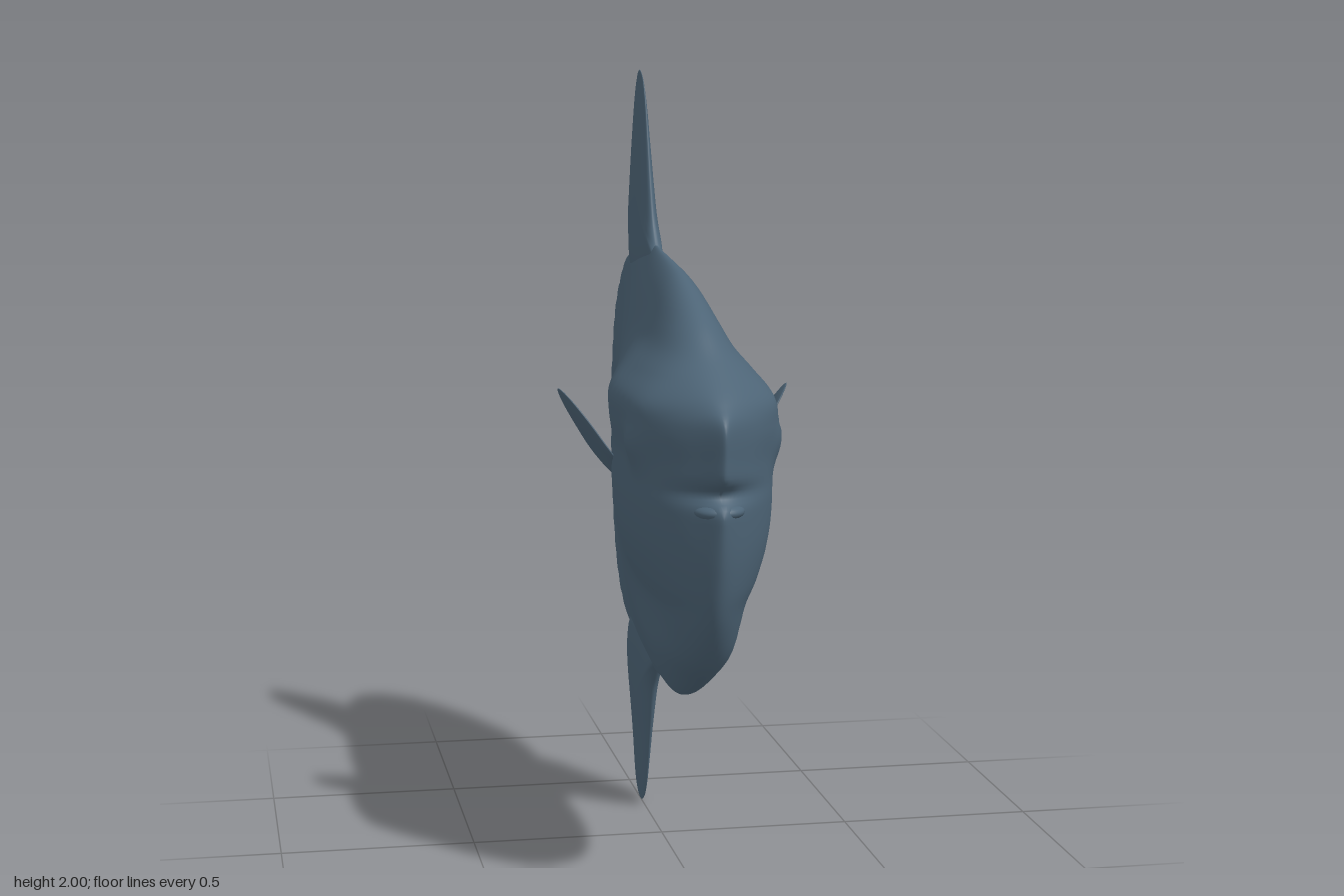
import * as THREE from 'three';

const skin = new THREE.MeshStandardMaterial({ color: 0x4d6476 });
skin.name = 'slate blue skin';

// Smooth curve through [x, y] pairs sorted by x
function curve(pairs) {
  const f = new THREE.CubicInterpolant(pairs.map(p => p[0]), pairs.map(p => p[1]), 1);
  return x => f.evaluate(x)[0];
}

// Closed two-sided form: a [z, y] outline filled with rings around a centre.
// half(z, y, s) gives the half thickness, warp(p, s, i) adjusts each point.
function lensForm(name, outline, centre, segs, rings, half, warp = () => {}) {
  const spline = new THREE.CatmullRomCurve3(
    outline.map(([z, y]) => new THREE.Vector3(0, y, z)), true, 'centripetal');
  const rim = spline.getSpacedPoints(segs).slice(0, segs);
  if (THREE.ShapeUtils.area(rim.map(p => new THREE.Vector2(p.y, p.z))) < 0) rim.reverse();
  const mid = new THREE.Vector3(0, centre[1], centre[0]);
  const pos = [], idx = [];
  const put = (base, s, sign, i) => {
    const p = mid.clone().lerp(base, s);
    const t = s < 1 ? half(p.z, p.y, s) : 0;
    warp(p, s, i);
    pos.push(p.x + sign * t, p.y, p.z);
  };
  const sideSize = 1 + (rings - 1) * segs;
  for (const sign of [1, -1]) {
    put(mid, 0, sign, 0);
    for (let j = 1; j < rings; j++) {
      const s = 1 - (1 - j / rings) ** 2;
      rim.forEach((p, i) => put(p, s, sign, i));
    }
  }
  rim.forEach((p, i) => put(p, 1, 0, i));
  [0, 1].forEach(side => {
    const o = side * sideSize;
    const id = (j, i) => (j === rings ? 2 * sideSize : o + 1 + (j - 1) * segs) + i % segs;
    const tri = (a, b, c) => (side ? idx.push(a, c, b) : idx.push(a, b, c));
    for (let i = 0; i < segs; i++) {
      tri(o, id(1, i), id(1, i + 1));
      for (let j = 1; j < rings; j++) {
        tri(id(j, i), id(j + 1, i), id(j + 1, i + 1));
        tri(id(j, i), id(j + 1, i + 1), id(j, i + 1));
      }
    }
  });
  const g = new THREE.BufferGeometry();
  g.setAttribute('position', new THREE.Float32BufferAttribute(pos, 3));
  g.setIndex(idx);
  g.computeVertexNormals();
  const mesh = new THREE.Mesh(g, skin);
  mesh.name = name;
  return mesh;
}

const bump = (d, r) => Math.exp(-(d * d) / (r * r));

function makeBody() {
  const outline = [
    [0.80, 1.12], [0.80, 1.205], [0.75, 1.25], [0.6, 1.34], [0.5, 1.41], [0.4, 1.46], [0.25, 1.51],
    [0, 1.545], [-0.1, 1.555], [-0.3, 1.54], [-0.43, 1.51], [-0.52, 1.485], [-0.61, 1.43],
    [-0.7, 1.34], [-0.755, 1.23], [-0.79, 1.11], [-0.80, 0.98], [-0.785, 0.83], [-0.75, 0.71],
    [-0.69, 0.59], [-0.6, 0.51], [-0.45, 0.465], [-0.3, 0.44], [-0.1, 0.425], [0, 0.43], [0.2, 0.44],
    [0.3, 0.455], [0.4, 0.485], [0.5, 0.535], [0.6, 0.6], [0.7, 0.72], [0.755, 0.85], [0.785, 0.98],
  ];
  // Half width along the length
  const along = curve([[-0.8, 0.004], [-0.6, 0.025], [-0.4, 0.055], [-0.2, 0.095], [0, 0.135],
    [0.1, 0.155], [0.2, 0.175], [0.3, 0.189], [0.4, 0.19], [0.5, 0.184], [0.6, 0.168],
    [0.65, 0.142], [0.7, 0.108], [0.75, 0.067], [0.8, 0.03]]);
  // Half width of the head by height: keeled crown, wide brow, pinched belly
  const headProfile = curve([[0.41, 0.025], [0.5, 0.058], [0.6, 0.09], [0.7, 0.102], [0.75, 0.112],
    [0.8, 0.135], [0.9, 0.165], [1, 0.176], [1.1, 0.176], [1.18, 0.188], [1.24, 0.187], [1.3, 0.142],
    [1.35, 0.102], [1.4, 0.08], [1.5, 0.05], [1.57, 0.025]]);
  const half = (z, y, s) => {
    const lens = 0.19 * Math.max(0.1, 1 - ((y - 1) / 0.6) ** 2);
    const k = THREE.MathUtils.smoothstep(z, -0.2, 0.35);
    const w = along(z) / 0.19 * THREE.MathUtils.lerp(lens, headProfile(y), k);
    const eye = 0.02 * bump(Math.hypot(z - 0.55, y - 1.13), 0.05);
    return (w + eye) * Math.sqrt(1 - s ** 14);
  };
  // Mouth notch at the front, scalloped edge at the rear
  const warp = (p, s, i) => {
    if (p.z > 0.5) p.z -= 0.05 * bump(p.y - 1.04, 0.024) * s ** 14;
    if (p.z < -0.55) {
      const cut = 0.016 * (1 - Math.abs(Math.sin(i * Math.PI / 6.5))) * s ** 24;
      p.z *= 1 - cut;
      p.y = 1 + (p.y - 1) * (1 - cut);
    }
  };
  return lensForm('body', outline, [0, 1], 400, 26, half, warp);
}

function makeVerticalFins() {
  const bladeHalf = thick => (z, y, s) => thick(y) * Math.sqrt(1 - s ** 4);
  const dorsal = lensForm('dorsalFin', [
    [-0.04, 1.5], [-0.085, 1.56], [-0.12, 1.61], [-0.16, 1.71], [-0.2, 1.83], [-0.24, 1.935],
    [-0.28, 1.985], [-0.33, 2.0], [-0.37, 1.96], [-0.41, 1.83], [-0.43, 1.7], [-0.44, 1.58],
    [-0.42, 1.515], [-0.4, 1.46], [-0.22, 1.44],
  ], [-0.29, 1.68], 96, 12, bladeHalf(curve([[1.44, 0.026], [1.57, 0.023], [1.8, 0.014], [2, 0.006]])));
  const ventral = lensForm('ventralFin', [
    [-0.04, 0.48], [-0.085, 0.42], [-0.12, 0.37], [-0.16, 0.26], [-0.2, 0.14], [-0.24, 0.05],
    [-0.28, 0.015], [-0.33, 0.005], [-0.38, 0.035], [-0.41, 0.14], [-0.44, 0.27], [-0.46, 0.38],
    [-0.455, 0.46], [-0.41, 0.52], [-0.22, 0.54],
  ], [-0.3, 0.3], 96, 12, bladeHalf(curve([[0, 0.006], [0.2, 0.013], [0.4, 0.024], [0.54, 0.026]])));
  return [dorsal, ventral];
}

// Round side fin leaning outwards from the flank
function makePectoralFin(side) {
  const outline = [[0.27, 1.06], [0.26, 1.1], [0.24, 1.16], [0.2, 1.205], [0.155, 1.22], [0.11, 1.19],
    [0.075, 1.12], [0.062, 1.05], [0.09, 1.01], [0.14, 0.99], [0.18, 1.01], [0.23, 1.045]];
  const warp = p => {
    p.x = side * (0.155 + 0.66 * (p.y - 0.99) - 0.15 * (p.z - 0.06));
  };
  return lensForm(side > 0 ? 'leftPectoralFin' : 'rightPectoralFin', outline, [0.16, 1.1], 48, 8,
    (z, y, s) => 0.009 * Math.sqrt(1 - s * s), warp);
}

export function createModel() {
  const model = new THREE.Group();
  model.name = 'sunfish';
  model.add(makeBody(), ...makeVerticalFins(), makePectoralFin(1), makePectoralFin(-1));

  // Lower lip below the mouth notch
  const lip = new THREE.Mesh(new THREE.SphereGeometry(1, 32, 20), skin);
  lip.name = 'lowerLip';
  lip.scale.set(0.062, 0.024, 0.06);
  lip.position.set(0, 1.0, 0.718);
  model.add(lip);
  return model;
}
